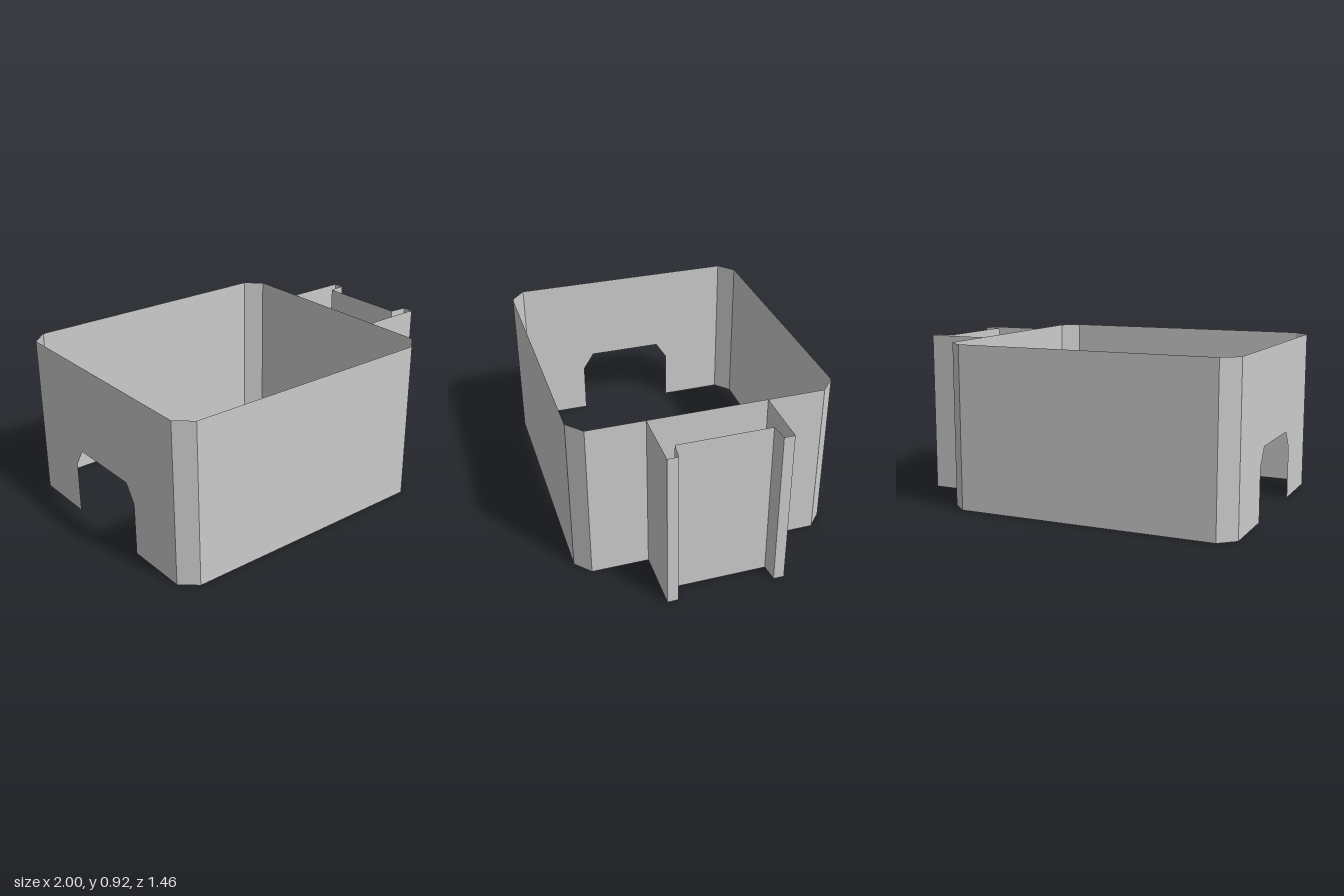
import * as THREE from 'three';

const H = 0.92;
const material = new THREE.MeshStandardMaterial({
  color: 0xcccccc, flatShading: true, side: THREE.DoubleSide,
});

// Upright thin sheet following [x, z] points on the floor plan
function sheet(name, path) {
  const pos = [];
  for (let i = 0; i < path.length - 1; i++) {
    const [ax, az] = path[i], [bx, bz] = path[i + 1];
    pos.push(ax, 0, az, bx, 0, bz, bx, H, bz, ax, 0, az, bx, H, bz, ax, H, az);
  }
  const geo = new THREE.BufferGeometry();
  geo.setAttribute('position', new THREE.Float32BufferAttribute(pos, 3));
  geo.computeVertexNormals();
  const mesh = new THREE.Mesh(geo, material);
  mesh.name = name;
  return mesh;
}

export function createModel() {
  const group = new THREE.Group();
  group.name = 'openHousing';

  // Three plain walls with chamfered corners, open at top and bottom
  group.add(sheet('shellWalls', [
    [-1, 0.65], [-0.91, 0.73], [0.56, 0.73], [0.65, 0.65],
    [0.65, -0.65], [0.56, -0.73], [-0.91, -0.73], [-1, -0.65],
  ]));

  // Wall with the chamfered cable notch in its lower edge
  const outline = new THREE.Shape([
    [-0.65, 0], [-0.285, 0], [-0.285, 0.3], [-0.22, 0.4],
    [0.22, 0.4], [0.285, 0.3], [0.285, 0], [0.65, 0], [0.65, H], [-0.65, H],
  ].map(([z, y]) => new THREE.Vector2(z, y)));
  const notched = new THREE.Mesh(new THREE.ShapeGeometry(outline), material);
  notched.name = 'notchedWall';
  notched.rotation.y = -Math.PI / 2;
  notched.position.x = -1;
  group.add(notched);

  // Mounting rail: two flanges with lips joined by a recessed plate
  const half = [[0.65, 0.33], [1, 0.33], [1, 0.27], [0.9, 0.26]];
  const mirrored = half.map(([x, z]) => [x, -z]).reverse();
  group.add(sheet('mountingRail', [...half, ...mirrored]));

  return group;
}
